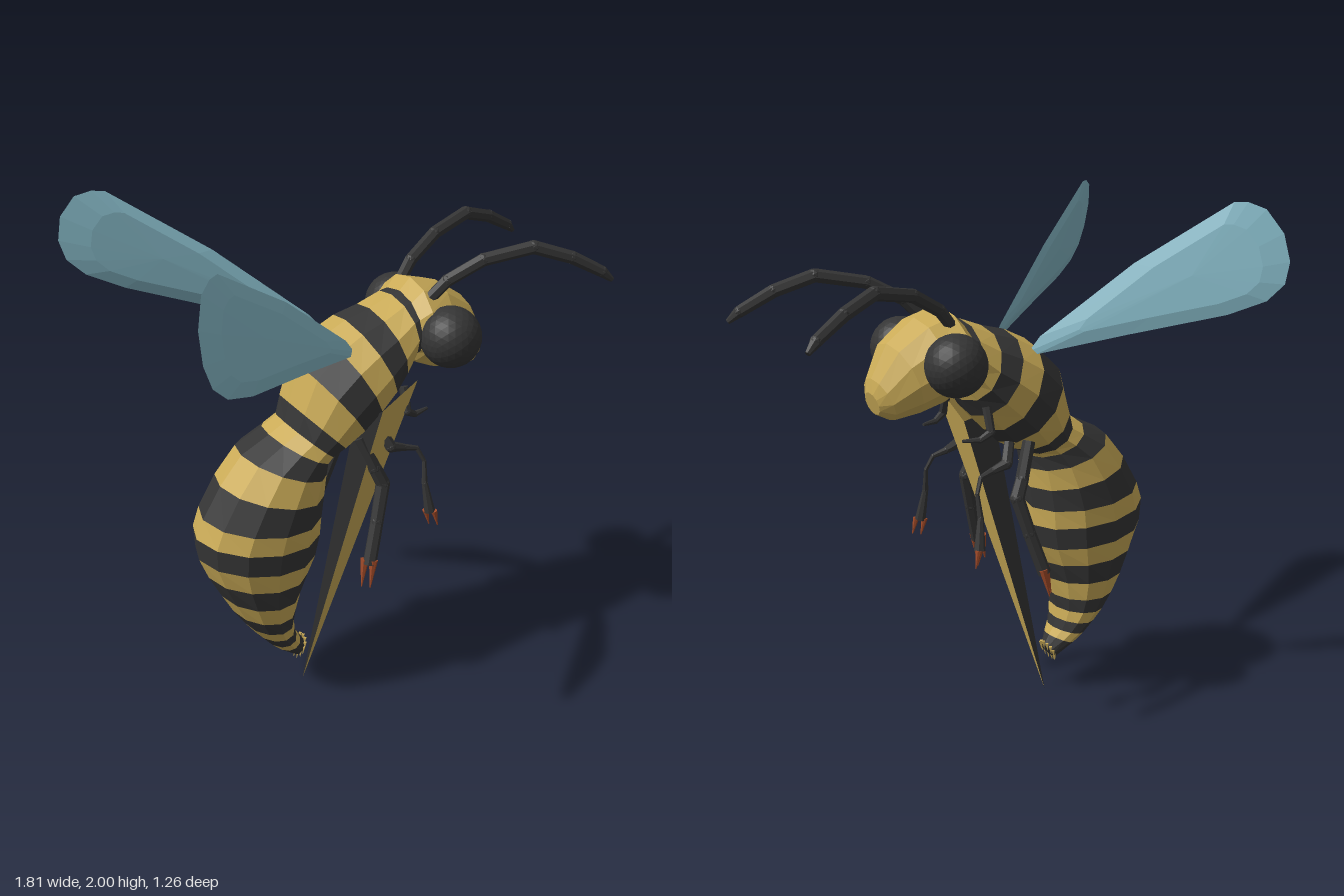
import * as THREE from 'three';

const mat = (name, color, side = THREE.FrontSide) => {
  const m = new THREE.MeshStandardMaterial({ color, side, flatShading: true });
  m.name = name;
  return m;
};

// Turn triangles (arrays of three Vector3) into a faceted geometry
function facets(tris) {
  const g = new THREE.BufferGeometry().setFromPoints(tris.flat());
  g.computeVertexNormals();
  return g;
}

const SIDES = 12;
// Elliptical ring spanning top (tx,ty) to bottom (bx,by), half width w along z
function ring([tx, ty, bx, by, w]) {
  const pts = [];
  for (let j = 0; j < SIDES; j++) {
    const t = (j / SIDES) * Math.PI * 2, c = Math.cos(t);
    pts.push(new THREE.Vector3((tx + bx) / 2 + (c * (tx - bx)) / 2, (ty + by) / 2 + (c * (ty - by)) / 2, Math.sin(t) * w));
  }
  return pts;
}

// Skin between two rings
function band(a, b) {
  const A = ring(a), B = ring(b), tris = [];
  for (let j = 0; j < SIDES; j++) {
    const k = (j + 1) % SIDES;
    tris.push([A[j], B[j], B[k]], [A[j], B[k], A[k]]);
  }
  return tris;
}

function cap(s, flip) {
  const R = ring(s), tris = [];
  for (let j = 1; j < SIDES - 1; j++) tris.push(flip ? [R[0], R[j + 1], R[j]] : [R[0], R[j], R[j + 1]]);
  return tris;
}

export function createModel() {
  const group = new THREE.Group();
  const yellow = mat('yellow', 0xcaab57, THREE.DoubleSide);
  const black = mat('black', 0x353535, THREE.DoubleSide);
  const teal = mat('wingTeal', 0x86b9c7);
  const rust = mat('rust', 0xa04a28);
  const add = (name, geo, material) => {
    const m = new THREE.Mesh(geo, material);
    m.name = name;
    group.add(m);
    return m;
  };

  // Striped thorax and abdomen: band edges from neck to tail, alternating black and yellow
  const body = [
    [0.17, 1.6, 0.19, 1.36, 0.17], [0.13, 1.59, 0.155, 1.35, 0.18], [0.035, 1.555, 0.12, 1.28, 0.2],
    [-0.065, 1.53, 0.08, 1.215, 0.22], [-0.16, 1.485, 0.02, 1.15, 0.23], [-0.26, 1.395, -0.04, 1.095, 0.225],
    [-0.305, 1.255, -0.115, 1.055, 0.195], [-0.325, 1.18, -0.165, 1.035, 0.175], [-0.39, 1.145, -0.175, 1.02, 0.18],
    [-0.505, 1.09, -0.185, 0.965, 0.2], [-0.595, 0.985, -0.195, 0.885, 0.215], [-0.67, 0.865, -0.205, 0.8, 0.22],
    [-0.7, 0.79, -0.21, 0.725, 0.215], [-0.695, 0.7, -0.23, 0.635, 0.205], [-0.66, 0.61, -0.265, 0.56, 0.19],
    [-0.61, 0.51, -0.3, 0.48, 0.175], [-0.565, 0.425, -0.32, 0.405, 0.155], [-0.52, 0.355, -0.33, 0.35, 0.138],
    [-0.48, 0.3, -0.325, 0.305, 0.118], [-0.435, 0.245, -0.315, 0.265, 0.098], [-0.39, 0.2, -0.295, 0.235, 0.078],
    [-0.31, 0.135, -0.27, 0.195, 0.04],
  ];
  const stripes = [[], []];
  for (let i = 0; i < body.length - 1; i++) stripes[i % 2].push(...band(body[i], body[i + 1]));
  add('blackStripes', facets(stripes[0]), black);
  add('yellowStripes', facets(stripes[1]), yellow);
  add('tailEnd', facets(cap(body[body.length - 1], true)), black);

  // Ragged fringe at the tail
  ring(body[body.length - 1]).forEach((p) => {
    const s = add('tailFringe', new THREE.ConeGeometry(0.008, 0.035, 4), yellow);
    s.position.copy(p);
    s.rotation.z = 2.7 + Math.PI * 0.1;
  });

  // Head, from the face back to the neck
  const head = [
    [0.51, 1.36, 0.485, 1.275, 0.05], [0.5, 1.41, 0.43, 1.248, 0.1], [0.435, 1.53, 0.34, 1.262, 0.16],
    [0.32, 1.612, 0.245, 1.29, 0.19], [0.21, 1.643, 0.18, 1.33, 0.195], [0.145, 1.58, 0.16, 1.37, 0.17],
  ];
  const headTris = [...cap(head[0], false), ...cap(head[head.length - 1], true)];
  for (let i = 0; i < head.length - 1; i++) headTris.push(...band(head[i], head[i + 1]));
  add('head', facets(headTris), yellow);

  // Long spike hanging below the thorax
  const V = (x, y, z) => new THREE.Vector3(x, y, z);
  const tip = V(-0.275, 0, 0);
  const a = V(-0.11, 1.18, 0.14), b = V(-0.03, 1.24, 0.21), c = V(0.13, 1.32, 0.19), d = V(0.06, 1.17, 0.08);
  add('spikeDark', facets([[a, tip, b], [a, d, tip]]), black);
  add('spikeLight', facets([[b, tip, c], [c, tip, d]]), yellow);

  // Jointed limb: tapered segments through points [x, y, z, radius]
  const limb = (name, pts, material, s) => {
    for (let i = 0; i < pts.length - 1; i++) {
      const p = V(pts[i][0], pts[i][1], pts[i][2] * s), q = V(pts[i + 1][0], pts[i + 1][1], pts[i + 1][2] * s);
      const m = add(name, new THREE.CylinderGeometry(pts[i + 1][3], pts[i][3], p.distanceTo(q), 7), material);
      m.position.copy(p).add(q).multiplyScalar(0.5);
      m.quaternion.setFromUnitVectors(V(0, 1, 0), q.sub(p).normalize());
      if (i) add(name + 'Joint', new THREE.IcosahedronGeometry(pts[i][3], 1), material).position.copy(p);
    }
  };

  // Wing outline in x and y; depth follows a tilted plane
  const outline = [
    [-0.1, 1.46], [-0.14, 1.515], [-0.45, 1.78], [-0.77, 2.0], [-0.81, 2.0], [-0.86, 1.975], [-0.9, 1.89],
    [-0.905, 1.79], [-0.88, 1.71], [-0.82, 1.65], [-0.7, 1.6], [-0.4, 1.525], [-0.12, 1.45],
  ];
  const wing = (s) => {
    const at = (x, y, off) => {
      const run = -0.1 - x;
      return V(x, y, s * (0.12 + 0.6 * run - 0.3 * (y - 1.46 - 0.51 * run) + off));
    };
    const tris = [], n = outline.length;
    const put = (p, q, r, flip) => tris.push(flip ? [p, r, q] : [p, q, r]);
    for (const f of [1, -1]) {
      const flip = f * s > 0;
      const mid = at(-0.6, 1.74, f * 0.025);
      const inner = outline.map(([x, y]) => at(x + (-0.6 - x) * 0.3, y + (1.74 - y) * 0.3, f * 0.02));
      const edge = outline.map(([x, y]) => at(x, y, 0));
      for (let i = 0; i < n; i++) {
        const k = (i + 1) % n;
        // the outline runs clockwise seen from the front
        put(edge[i], edge[k], inner[k], !flip);
        put(edge[i], inner[k], inner[i], !flip);
        put(inner[i], inner[k], mid, !flip);
      }
    }
    // reverse the winding so faces point outward
    return facets(tris.map(([p, q, r]) => {
      return [p, r, q];
    }));
  };

  for (const s of [1, -1]) {
    const side = s > 0 ? 'right' : 'left';
    const wingMesh = add(side + 'Wing', wing(s), teal);
    teal.side = THREE.DoubleSide;
    wingMesh.position.set(0, 0, 0);
    add(side + 'Eye', new THREE.IcosahedronGeometry(0.115, 4), black).position.set(0.265, 1.465, s * 0.197);

    limb(side + 'Antenna', [
      [0.22, 1.58, 0.1, 0.022], [0.29, 1.655, 0.125, 0.024], [0.42, 1.725, 0.165, 0.025], [0.6, 1.758, 0.222, 0.026],
      [0.74, 1.708, 0.27, 0.025], [0.86, 1.64, 0.305, 0.022], [0.9, 1.605, 0.32, 0.01],
    ], black, s);

    // Front, middle and hind legs
    limb(side + 'FrontLeg', [
      [0.1, 1.28, 0.14, 0.018], [0.1, 1.19, 0.17, 0.016], [0.14, 1.165, 0.16, 0.012], [0.205, 1.165, 0.14, 0.006],
    ], black, s);
    limb(side + 'MiddleLeg', [
      [0.0, 1.13, 0.14, 0.02], [0.03, 1.06, 0.17, 0.022], [0.09, 1.04, 0.165, 0.014], [0.145, 1.025, 0.17, 0.009],
      [0.17, 0.97, 0.185, 0.008], [0.165, 0.88, 0.2, 0.012], [0.18, 0.76, 0.215, 0.022],
    ], black, s);
    limb(side + 'HindLeg', [
      [-0.09, 1.12, 0.14, 0.025], [-0.04, 0.99, 0.17, 0.026], [-0.01, 0.92, 0.18, 0.028],
      [-0.05, 0.78, 0.205, 0.026], [-0.1, 0.62, 0.235, 0.027],
    ], black, s);
    // Small claws
    for (const o of [-0.012, 0.012]) {
      limb(side + 'MiddleClaw', [[0.18 + o, 0.765, 0.216 + o, 0.013], [0.195 + o, 0.7, 0.22 + o, 0.002]], rust, s);
      limb(side + 'HindClaw', [[-0.1 + o, 0.64, 0.233 + o, 0.018], [-0.122 + o, 0.53, 0.246 + o, 0.002]], rust, s);
    }
  }
  return group;
}
